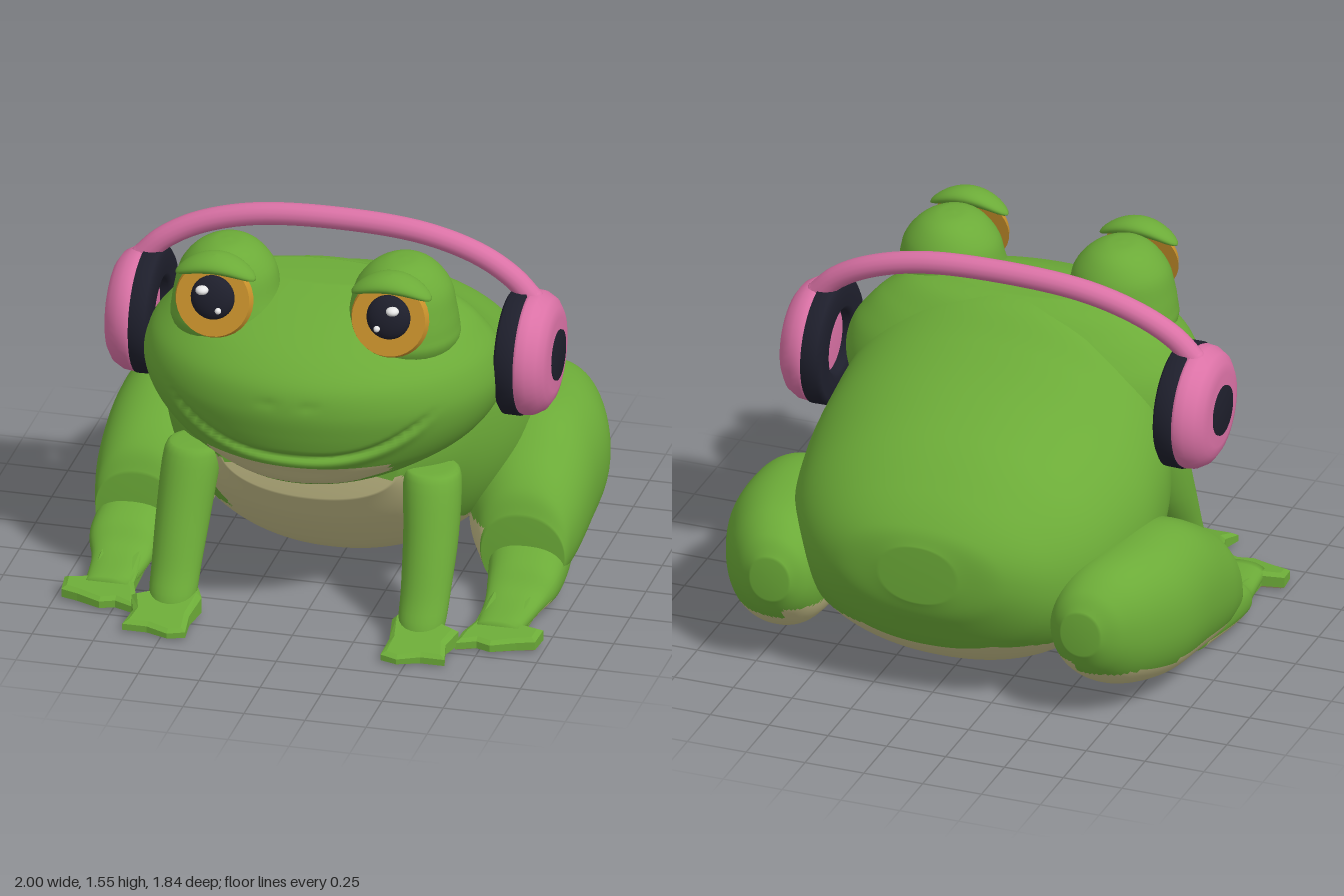
import * as THREE from 'three';

const mat = (name, color) => Object.assign(new THREE.MeshStandardMaterial({ color }), { name });
const green = mat('green skin', 0x6cab38);
const cream = mat('cream belly', 0xc2bb86);
const pink = mat('pink plastic', 0xdb72a6);
const black = mat('black', 0x1e1f2c);
const gold = mat('gold iris', 0xcb932c);
const white = mat('white glint', 0xf2f2f2);

const V = (x, y, z) => new THREE.Vector3(x, y, z);

// Smooth interpolation through rows of numbers, t from 0 to 1
function sampler(rows) {
  const n = rows[0].length;
  const curve = new THREE.CubicInterpolant(rows.map((_, i) => i), rows.flat(), n, new Float32Array(n));
  return t => curve.evaluate(t * (rows.length - 1));
}

// Closed skin over rings of points, capped at both ends, always facing outward
function loft(nu, nv, point) {
  const pts = [], index = [];
  for (let j = 0; j <= nv; j++)
    for (let i = 0; i < nu; i++) pts.push(point((i / nu) * Math.PI * 2, j / nv));
  for (let j = 0; j < nv; j++)
    for (let i = 0; i < nu; i++) {
      const a = j * nu + i, b = j * nu + (i + 1) % nu;
      index.push(a, b, a + nu, b, b + nu, a + nu);
    }
  for (const j of [0, nv]) {
    const c = V(0, 0, 0);
    for (let i = 0; i < nu; i++) c.addScaledVector(pts[j * nu + i], 1 / nu);
    const k = pts.push(c) - 1;
    for (let i = 0; i < nu; i++) {
      const a = j * nu + i, b = j * nu + (i + 1) % nu;
      j ? index.push(k, a, b) : index.push(k, b, a);
    }
  }
  let volume = 0;
  const mid = pts[0].clone().lerp(pts[pts.length - 1], 0.5);
  for (let i = 0; i < index.length; i += 3) {
    const [a, b, c] = [0, 1, 2].map(k => pts[index[i + k]].clone().sub(mid));
    volume += a.dot(b.cross(c));
  }
  const geo = new THREE.BufferGeometry().setFromPoints(pts);
  geo.setIndex(volume < 0 ? index.reverse() : index);
  geo.computeVertexNormals();
  return geo;
}

// Limb or trunk from rows [position, centreA, centreB, radiusA, radiusB] along z or y
function sections(rows, axis, nu, nv, power = 2) {
  const at = sampler(rows);
  const round = v => Math.sign(v) * Math.abs(v) ** (2 / power);
  return loft(nu, nv, (u, t) => {
    const [p, a, b, ra, rb] = at(t);
    const s = a + ra * round(Math.cos(u)), q = b + rb * round(Math.sin(u));
    return axis === 'z' ? V(s, q, p) : V(s, p, q);
  });
}

// Split faces into two colour groups by centroid and face normal
function twoTone(geo, test) {
  const pos = geo.attributes.position, parts = [[], []];
  const count = geo.index ? geo.index.count : pos.count;
  for (let i = 0; i < count; i += 3) {
    const ids = [0, 1, 2].map(k => (geo.index ? geo.index.getX(i + k) : i + k));
    const tri = new THREE.Triangle(...ids.map(k => V().fromBufferAttribute(pos, k)));
    parts[test(tri.getMidpoint(V()), tri.getNormal(V())) ? 1 : 0].push(...ids);
  }
  geo.clearGroups();
  geo.setIndex(parts.flat());
  geo.addGroup(0, parts[0].length, 0);
  geo.addGroup(parts[0].length, parts[1].length, 1);
  return geo;
}

function mirrored(geo) {
  const g = geo.clone().scale(-1, 1, 1);
  const ids = Array.from(g.index.array);
  for (let i = 0; i < ids.length; i += 3) [ids[i], ids[i + 1]] = [ids[i + 1], ids[i]];
  g.setIndex(ids);
  return g;
}

// Flat webbed foot, thick at the heel and thin at the toes, with a cream sole
function foot(outline, z0, z1, high, low) {
  const shape = new THREE.Shape(outline.map(p => new THREE.Vector2(...p)));
  const geo = new THREE.ExtrudeGeometry(shape, { depth: 0.6, bevelThickness: 0.2, bevelSize: 0.02, bevelOffset: -0.02, bevelSegments: 1 });
  geo.rotateX(Math.PI / 2).translate(0, 0.8, 0);
  const p = geo.attributes.position;
  for (let i = 0; i < p.count; i++)
    p.setY(i, p.getY(i) * THREE.MathUtils.mapLinear(p.getZ(i), z0, z1, high, low));
  geo.computeVertexNormals();
  return twoTone(geo, (c, n) => n.y < -0.5);
}

const ball = (r, sx, sy, sz, x, y, z) => new THREE.SphereGeometry(r, 28, 18).scale(sx, sy, sz).translate(x, y, z);

export function createModel() {
  const model = new THREE.Group();
  const add = (name, geo, material) => {
    const m = new THREE.Mesh(geo, material);
    m.name = name;
    model.add(m);
  };
  const pair = (name, geo, material) => {
    add(name + 'Left', geo, material);
    add(name + 'Right', mirrored(geo), material);
  };
  const skin = [green, cream];
  const smooth = THREE.MathUtils.smoothstep;

  // Body with a cream belly
  const body = sections([
    [-0.92, 0, 0.60, 0.16, 0.12], [-0.88, 0, 0.59, 0.36, 0.21], [-0.77, 0, 0.56, 0.53, 0.35],
    [-0.58, 0, 0.56, 0.66, 0.475], [-0.3, 0, 0.59, 0.73, 0.54], [-0.1, 0, 0.65, 0.73, 0.59],
    [0.06, 0, 0.71, 0.7, 0.63], [0.22, 0, 0.75, 0.63, 0.59], [0.38, 0, 0.74, 0.53, 0.42], [0.5, 0, 0.66, 0.36, 0.17],
  ], 'z', 120, 110, 2.15);
  add('body', twoTone(body, c => c.z > -0.79 &&
    c.y < 0.27 + 0.03 * smooth(c.z, -0.1, 0.2) + 0.32 * smooth(c.z, 0.25, 0.45)), skin);

  // Head: level slices [height, half width, front z, back z] with a carved mouth and nostrils
  const slice = sampler([
    [0.6, 0.26, 0.55, 0], [0.64, 0.41, 0.69, -0.08], [0.72, 0.56, 0.76, -0.15], [0.8, 0.65, 0.795, -0.2],
    [0.9, 0.71, 0.825, -0.2], [1.0, 0.73, 0.84, -0.18], [1.1, 0.705, 0.82, -0.14], [1.18, 0.65, 0.75, -0.09],
    [1.25, 0.58, 0.64, -0.03], [1.32, 0.46, 0.48, 0.04], [1.36, 0.28, 0.34, 0.12],
  ]);
  const head = loft(120, 100, (u, t) => {
    const [y, w, zf, zb] = slice(t);
    const s = Math.sin(u), zc = 0.22;
    const p = V(w * Math.cos(u), y, zc + s * (s > 0 ? zf - zc : zc - zb));
    if (s > 0) {
      const d = y - (0.8 + 0.18 * (Math.abs(p.x) / 0.53) ** 2.8);
      const inMouth = 1 - smooth(Math.abs(p.x), 0.45, 0.57);
      const nostril = Math.exp(-((Math.abs(p.x) - 0.09) ** 2 + (y - 1.04) ** 2) / 0.0004);
      const push = inMouth * (0.01 * Math.exp(-((d + 0.035) ** 2) / 0.0006) - 0.02 * Math.exp(-d * d / 0.0002)) - 0.01 * nostril;
      p.x += push * Math.cos(u);
      p.z += push * s;
    }
    return p;
  });
  add('head', twoTone(head, c => c.z > 0.3 && Math.abs(c.x) < 0.37 && c.y < 0.75 &&
    c.y > 0.65 + 0.3 * Math.max(0, Math.abs(c.x) - 0.2)), skin);

  // Eyes: flared bulb, iris plate, domed pupil, glints and drooping lid
  pair('eyeBulb', sections([
    [1.1, 0.34, 0.36, 0.2, 0.2], [1.2, 0.35, 0.385, 0.235, 0.235], [1.26, 0.355, 0.39, 0.228, 0.228],
    [1.33, 0.36, 0.39, 0.212, 0.212], [1.42, 0.36, 0.385, 0.19, 0.19], [1.49, 0.36, 0.385, 0.135, 0.145],
    [1.525, 0.36, 0.385, 0.07, 0.085], [1.533, 0.36, 0.385, 0.01, 0.01],
  ], 'y', 36, 32), green);
  const onEye = geo => geo.rotateX(-0.23).translate(0.36, 1.365, 0.61);
  pair('iris', onEye(new THREE.CylinderGeometry(0.15, 0.16, 0.03, 32).rotateX(Math.PI / 2)), gold);
  pair('pupil', onEye(ball(0.09, 1, 1, 0.5, 0, 0.01, 0.014)), black);
  pair('glintLarge', ball(0.026, 1, 0.7, 1, 0.39, 1.43, 0.676), white);
  pair('glintSmall', ball(0.013, 1, 1, 1, 0.325, 1.345, 0.674), white);
  const lid = ball(1, 0.165, 0.036, 0.07, 0, 0, 0).rotateX(0.15);
  const lp = lid.attributes.position;
  for (let i = 0; i < lp.count; i++) lp.setY(i, lp.getY(i) - 0.055 * (lp.getX(i) / 0.165) ** 2);
  lid.computeVertexNormals();
  pair('eyelid', lid.translate(0.36, 1.51, 0.575), green);

  // Front legs and feet
  pair('frontLeg', sections([
    [0.65, 0.48, 0.41, 0.08, 0.08], [0.62, 0.49, 0.43, 0.115, 0.115], [0.4, 0.505, 0.51, 0.11, 0.12],
    [0.2, 0.51, 0.61, 0.1, 0.095], [0.09, 0.51, 0.67, 0.095, 0.09], [0.02, 0.51, 0.69, 0.08, 0.08],
  ], 'y', 24, 20), green);
  pair('frontFoot', foot([
    [0.43, 0.6], [0.58, 0.6], [0.6, 0.68], [0.67, 0.71], [0.64, 0.8], [0.66, 0.89],
    [0.56, 0.89], [0.47, 0.92], [0.4, 0.9], [0.41, 0.8], [0.39, 0.68],
  ], 0.6, 0.92, 0.13, 0.035), skin);

  // Hind legs: heavy thigh running forward into a low shin, cream below and inside
  const thigh = sections([
    [-0.84, 0.66, 0.42, 0.08, 0.09], [-0.78, 0.67, 0.41, 0.155, 0.18], [-0.66, 0.695, 0.39, 0.215, 0.26],
    [-0.45, 0.735, 0.365, 0.25, 0.3], [-0.2, 0.75, 0.34, 0.25, 0.31], [0, 0.76, 0.28, 0.235, 0.27],
    [0.12, 0.78, 0.23, 0.195, 0.22], [0.17, 0.79, 0.18, 0.17, 0.165],
  ], 'z', 64, 60, 2.15);
  pair('thigh', twoTone(thigh, (c, n) => c.z < 0.16 && ((n.y < -0.5 && c.y < 0.22) || (n.x < -0.2 && c.y < 0.28))), skin);
  const shin = sections([
    [-0.1, 0.79, 0.14, 0.14, 0.12], [0.1, 0.8, 0.125, 0.16, 0.115], [0.26, 0.815, 0.1, 0.145, 0.09],
    [0.38, 0.805, 0.06, 0.115, 0.05], [0.6, 0.8, 0.05, 0.09, 0.04],
  ], 'z', 32, 24, 2.4);
  pair('shin', twoTone(shin, (c, n) => n.y < -0.4), skin);
  pair('hindFoot', foot([
    [0.71, 0.28], [0.9, 0.28], [0.89, 0.55], [0.98, 0.57], [0.97, 0.66], [0.9, 0.68],
    [0.8, 0.72], [0.74, 0.7], [0.66, 0.73], [0.67, 0.64], [0.7, 0.56],
  ], 0.28, 0.73, 0.12, 0.045), skin);

  // Headphones: lathed pieces with profile [radius, x]
  const lathe = pts => new THREE.LatheGeometry(pts.map(p => new THREE.Vector2(...p)), 40)
    .rotateZ(-Math.PI / 2).translate(0, 1.03, 0.075);
  pair('earCup', lathe([
    [0, 0.755], [0.2, 0.755], [0.245, 0.78], [0.252, 0.8], [0.248, 0.835], [0.225, 0.875], [0.19, 0.898], [0.15, 0.908], [0, 0.91],
  ]), pink);
  pair('earPad', lathe([
    [0.13, 0.765], [0.13, 0.72], [0.15, 0.705], [0.235, 0.705], [0.256, 0.72], [0.257, 0.785], [0.24, 0.79],
  ]), black);
  pair('cupDisc', lathe([[0.102, 0.9], [0.102, 0.916], [0, 0.917]]), black);
  const arc = [[0.8, 1.25, 0.05], [0.72, 1.33, 0.045], [0.58, 1.41, 0.035], [0.35, 1.475, 0.03]];
  const path = new THREE.CatmullRomCurve3([
    ...arc.map(([x, y, z]) => V(-x, y, z)), V(0, 1.497, 0.028), ...arc.reverse().map(p => V(...p)),
  ]);
  add('headband', new THREE.TubeGeometry(path, 60, 0.046, 14), pink);
  pair('bandEnd', ball(0.046, 1, 1, 1, 0.8, 1.25, 0.05), pink);

  return model;
}
